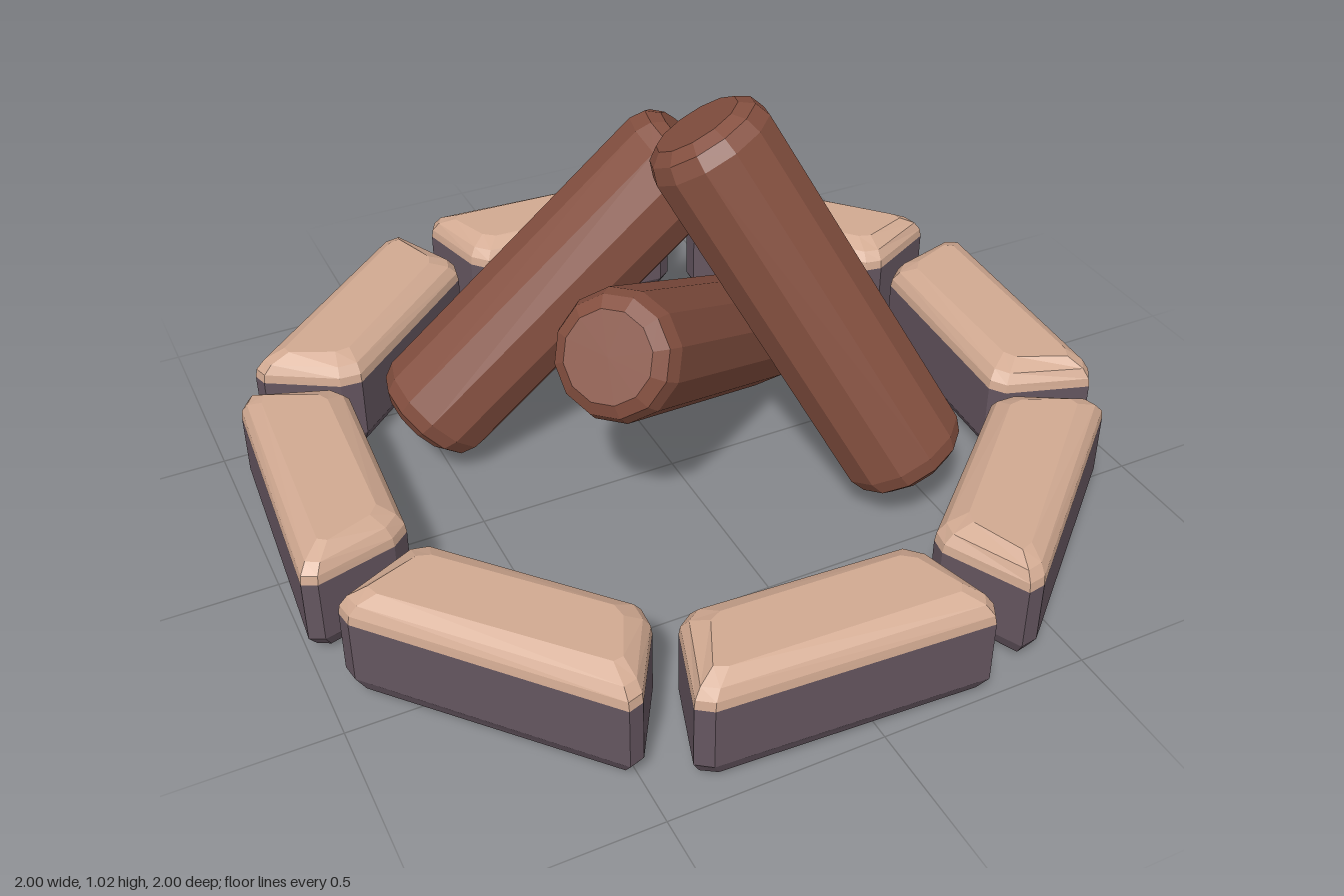
import * as THREE from 'three';

const flat = (color, name) => {
  const m = new THREE.MeshStandardMaterial({ color, flatShading: true });
  m.name = name;
  return m;
};

// Outline of one ring stone seen from above: [x, z], inner edge first
const OUTLINE = [
  [-0.31, 0.71], [0.19, 0.74], [0.225, 0.78], [0.272, 0.965],
  [0.255, 0.998], [-0.375, 0.96], [-0.41, 0.935], [-0.345, 0.735],
];
const CENTER = [-0.07, 0.86];

// Skin between levels [y, inset], optionally closed at the bottom or top
function loftStone(levels, capBottom, capTop) {
  const n = OUTLINE.length, pos = [], idx = [];
  for (const [y, inset] of levels) {
    const sx = 1 - inset / 0.33, sz = 1 - inset / 0.13;
    for (const [x, z] of OUTLINE) {
      pos.push(CENTER[0] + (x - CENTER[0]) * sx, y, CENTER[1] + (z - CENTER[1]) * sz);
    }
  }
  for (let l = 0; l < levels.length - 1; l++) {
    for (let i = 0; i < n; i++) {
      const a = l * n + i, b = l * n + (i + 1) % n;
      idx.push(a, a + n, b + n, a, b + n, b);
    }
  }
  const top = (levels.length - 1) * n;
  for (let i = 1; i < n - 1; i++) {
    if (capBottom) idx.push(0, i, i + 1);
    if (capTop) idx.push(top, top + i + 1, top + i);
  }
  const g = new THREE.BufferGeometry();
  g.setAttribute('position', new THREE.Float32BufferAttribute(pos, 3));
  g.setIndex(idx);
  g.computeVertexNormals();
  return g;
}

// Log with bevelled ends running from a low point to a high point
function makeLog(from, to, material, name) {
  const a = new THREE.Vector3(...from), b = new THREE.Vector3(...to);
  const dir = b.clone().sub(a), L = dir.length();
  const profile = [
    [0, 0], [0.105, 0], [0.136, 0.022], [0.15, 0.06],
    [0.15, L - 0.06], [0.136, L - 0.022], [0.105, L], [0, L],
  ].map(([r, y]) => new THREE.Vector2(r, y));
  const mesh = new THREE.Mesh(new THREE.LatheGeometry(profile, 12), material);
  mesh.position.copy(a);
  mesh.quaternion.setFromUnitVectors(new THREE.Vector3(0, 1, 0), dir.normalize());
  mesh.name = name;
  return mesh;
}

export function createModel() {
  const model = new THREE.Group();
  model.name = 'campfire';
  const wood = flat(0x855040, 'wood brown');
  const stoneDark = flat(0x655660, 'stone purple grey');
  const stoneLight = flat(0xd2aa92, 'stone tan');

  // Ring of eight stones, each a dark body with a light top
  const bodyGeo = loftStone([[0.003, 0.05], [0.02, 0.018], [0.055, 0], [0.21, 0]], true, false);
  const topGeo = loftStone([[0.21, 0], [0.232, 0.003], [0.255, 0.018], [0.275, 0.055]], false, true);
  const ring = new THREE.Group();
  ring.name = 'stoneRing';
  for (let i = 0; i < 8; i++) {
    const stone = new THREE.Group();
    stone.name = `stone${i + 1}`;
    const body = new THREE.Mesh(bodyGeo, stoneDark);
    body.name = 'stoneBody';
    const top = new THREE.Mesh(topGeo, stoneLight);
    top.name = 'stoneTop';
    stone.add(body, top);
    stone.rotation.y = i * Math.PI / 4;
    ring.add(stone);
  }
  model.add(ring);

  // Three logs leaning on each other
  model.add(
    makeLog([0.44, 0.14, 0.395], [0.035, 0.97, 0.05], wood, 'frontLog'),
    makeLog([-0.543, 0.125, -0.295], [0.14, 0.79, -0.175], wood, 'backLog'),
    makeLog([0.385, 0.125, -0.285], [-0.29, 0.595, 0.28], wood, 'lowLog'),
  );
  return model;
}
